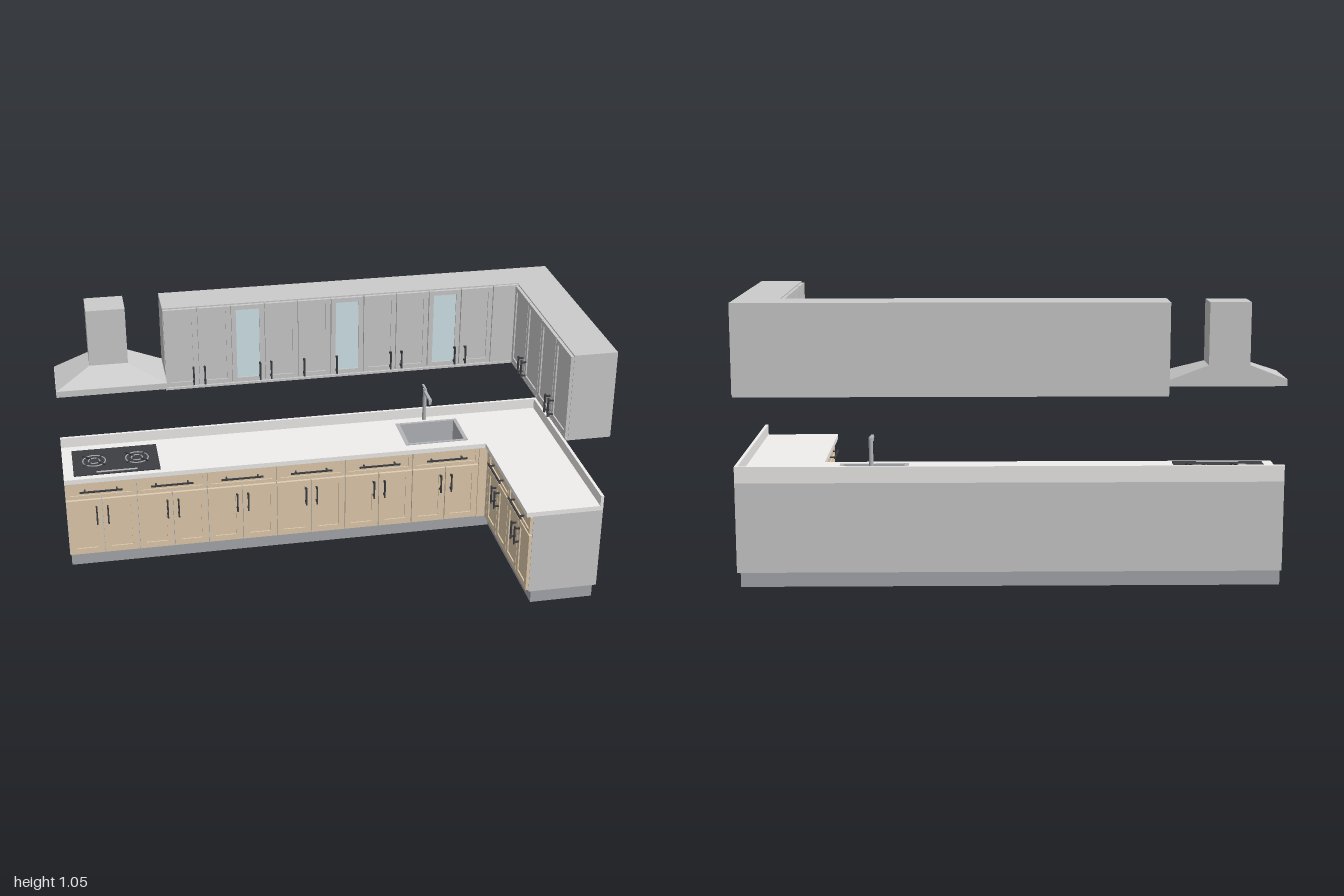
import * as THREE from 'three';

const mat = (color, side = THREE.FrontSide) => new THREE.MeshStandardMaterial({ color, side });
const GREY = mat(0xcccccc), WOOD = mat(0xe2cdae), STONE = mat(0xf0efec), PLINTH = mat(0xa6a9ae);
const DARK = mat(0x3c3e42), GLASS = mat(0xd2e6ec), METAL = mat(0xb4b6ba);

function add(parent, name, geometry, material) {
  const mesh = new THREE.Mesh(geometry, material);
  mesh.name = name;
  parent.add(mesh);
  return mesh;
}

// Box given by its limits on each axis
function box(parent, name, material, x0, x1, y0, y1, z0, z1) {
  const g = new THREE.BoxGeometry(x1 - x0, y1 - y0, z1 - z0);
  g.translate((x0 + x1) / 2, (y0 + y1) / 2, (z0 + z1) / 2);
  return add(parent, name, g, material);
}

const rectPoints = (x0, x1, y0, y1) =>
  [[x0, y0], [x1, y0], [x1, y1], [x0, y1]].map(p => new THREE.Vector2(...p));

// L-shaped slab: a run along the back and a leg along the +x side
function slabL(parent, name, material, o, y0, y1, hole) {
  const pts = [[o.x0, o.zb], [o.x1, o.zb], [o.x1, o.zEnd], [o.xLeg, o.zEnd], [o.xLeg, o.zRun], [o.x0, o.zRun]];
  const shape = new THREE.Shape(pts.map(p => new THREE.Vector2(...p)));
  if (hole) shape.holes.push(new THREE.Path(rectPoints(...hole)));
  const g = new THREE.ExtrudeGeometry(shape, { depth: y1 - y0, bevelEnabled: false });
  g.rotateX(Math.PI / 2).translate(0, y1, 0);
  return add(parent, name, g, material);
}

const THICK = 0.012, GAP = 0.002;

// Framed front with a recessed panel, facing +z, face at z = 0
function panelFront(parent, name, material, x0, x1, y0, y1, border, panel = material) {
  const front = new THREE.Group();
  front.name = name;
  x0 += GAP; x1 -= GAP; y0 += GAP; y1 -= GAP;
  const inner = [x0 + border, x1 - border, y0 + border, y1 - border];
  const shape = new THREE.Shape(rectPoints(x0, x1, y0, y1));
  shape.holes.push(new THREE.Path(rectPoints(...inner)));
  const g = new THREE.ExtrudeGeometry(shape, { depth: THICK, bevelEnabled: false });
  add(front, 'frame', g.translate(0, 0, -THICK), material);
  box(front, 'panel', panel, ...inner, -THICK, -0.005);
  parent.add(front);
}

// Bar handle on two posts, upright or level
function handle(parent, x, y, length, upright) {
  const h = new THREE.Group();
  h.name = 'handle';
  const r = 0.003, half = length / 2;
  box(h, 'bar', DARK, -half, half, -r, r, 0.017, 0.023);
  for (const s of [-1, 1]) {
    const c = s * half * 0.75;
    box(h, 'post', DARK, c - r, c + r, -r, r, 0, 0.018);
  }
  h.position.set(x, y, 0);
  if (upright) h.rotation.z = Math.PI / 2;
  parent.add(h);
}

// Group whose local x runs along the leg and whose fronts face -x
function legGroup(parent, name, x) {
  const g = new THREE.Group();
  g.name = name;
  g.position.x = x;
  g.rotation.y = -Math.PI / 2;
  parent.add(g);
  return g;
}

function runGroup(parent, name, z) {
  const g = new THREE.Group();
  g.name = name;
  g.position.z = z;
  parent.add(g);
  return g;
}

// Base unit: one drawer over a pair of doors
function baseUnit(parent, x0, w) {
  const c = x0 + w / 2;
  panelFront(parent, 'drawer', WOOD, x0, x0 + w, 0.312, 0.388, 0.014);
  handle(parent, c, 0.353, 0.168, false);
  for (const s of [-1, 1]) {
    panelFront(parent, 'baseDoor', WOOD, Math.min(c, c + s * w / 2), Math.max(c, c + s * w / 2), 0.06, 0.308, 0.025);
    handle(parent, c + s * 0.022, 0.243, 0.08, true);
  }
}

function wallDoor(parent, x0, x1, handleX, glazed) {
  panelFront(parent, glazed ? 'glassDoor' : 'wallDoor', GREY, x0, x1, 0.717, 1.044, 0.018, glazed ? GLASS : GREY);
  if (handleX !== null) handle(parent, handleX, 0.768, 0.076, true);
}

function buildBase(root) {
  const base = runGroup(root, 'baseCabinets', 0);
  const hole = [0.39, 0.625, -0.365, -0.19];
  slabL(base, 'plinth', PLINTH, { x0: -0.995, x1: 0.988, zb: -0.42, zEnd: 0.42, xLeg: 0.74, zRun: -0.18 }, 0, 0.056);
  slabL(base, 'carcass', GREY, { x0: -1, x1: 1, zb: -0.43, zEnd: 0.43, xLeg: 0.727, zRun: -0.166 }, 0.056, 0.391, hole);
  slabL(base, 'worktop', STONE, { x0: -1, x1: 1, zb: -0.43, zEnd: 0.43, xLeg: 0.7, zRun: -0.139 }, 0.391, 0.41, hole);
  box(base, 'backUpstand', STONE, -1, 1, 0.41, 0.452, -0.43, -0.418);
  box(base, 'sideUpstand', STONE, 0.988, 1, 0.41, 0.452, -0.418, 0.43);

  const run = runGroup(base, 'baseRunFronts', -0.154);
  for (let i = 0; i < 6; i++) baseUnit(run, -1 + i * 0.28, 0.28);
  box(run, 'cornerFiller', WOOD, 0.68, 0.727, 0.06, 0.388, -THICK, 0);
  const leg = legGroup(base, 'baseLegFronts', 0.715);
  for (let i = 0; i < 2; i++) baseUnit(leg, -0.13 + i * 0.28, 0.28);
  box(leg, 'cornerFiller', WOOD, -0.154, -0.13, 0.06, 0.388, -THICK, 0);
}

function buildWall(root) {
  const wall = runGroup(root, 'wallCabinets', 0);
  slabL(wall, 'carcass', GREY, { x0: -0.575, x1: 1, zb: -0.43, zEnd: 0.43, xLeg: 0.837, zRun: -0.272 }, 0.714, 1.047);
  slabL(wall, 'lightRail', GREY, { x0: -0.575, x1: 1, zb: -0.418, zEnd: 0.43, xLeg: 0.828, zRun: -0.263 }, 0.705, 0.714);
  const run = runGroup(wall, 'wallRunFronts', -0.26);
  // Handle side of each door: 1 right, -1 left
  const sides = [1, -1, 1, -1, -1, -1, 1, -1, 1, -1];
  const w = 0.131;
  sides.forEach((s, i) => {
    const x0 = -0.575 + i * w;
    wallDoor(run, x0, x0 + w, s > 0 ? x0 + w - 0.022 : x0 + 0.022, i % 3 === 2);
  });
  box(run, 'cornerFiller', GREY, 0.736, 0.837, 0.717, 1.044, -THICK, 0);
  const leg = legGroup(wall, 'wallLegFronts', 0.825);
  for (let i = 0; i < 4; i++) {
    const z0 = -0.26 + i * 0.1725;
    wallDoor(leg, z0, z0 + 0.1725, i % 2 ? z0 + 0.02 : z0 + 0.1525, false);
  }
}

function buildHood(root) {
  const hood = runGroup(root, 'extractorHood', 0);
  box(hood, 'rim', GREY, -1, -0.575, 0.743, 0.768, -0.43, -0.195);
  box(hood, 'chimney', GREY, -0.864, -0.715, 0.815, 1.047, -0.43, -0.298);
  // Canopy: a box whose top is drawn in to the chimney
  const g = new THREE.BoxGeometry(0.425, 0.053, 0.235).toNonIndexed();
  const p = g.attributes.position;
  for (let i = 0; i < p.count; i++) {
    const top = p.getY(i) > 0;
    const x = p.getX(i) > 0 ? (top ? -0.715 : -0.575) : (top ? -0.864 : -1);
    const z = p.getZ(i) > 0 ? (top ? -0.298 : -0.195) : -0.43;
    p.setXYZ(i, x, top ? 0.82 : 0.767, z);
  }
  g.computeVertexNormals();
  add(hood, 'canopy', g, GREY);
}

function buildHob(root) {
  const hob = runGroup(root, 'hob', 0);
  box(hob, 'hobPlate', DARK, -0.96, -0.62, 0.41, 0.414, -0.375, -0.165);
  box(hob, 'controlStrip', METAL, -0.87, -0.71, 0.414, 0.4155, -0.186, -0.176);
  for (const x of [-0.875, -0.705]) {
    for (const r of [0.022, 0.045]) {
      const ring = add(hob, 'burnerRing', new THREE.TorusGeometry(r, 0.003, 6, 28), PLINTH);
      ring.rotation.x = Math.PI / 2;
      ring.position.set(x, 0.414, -0.275);
    }
    for (let k = 0; k < 4; k++) {
      const spoke = box(hob, 'panSupport', DARK, 0.018, 0.06, 0, 0.006, -0.002, 0.002);
      spoke.position.set(x, 0.414, -0.275);
      spoke.rotation.y = k * Math.PI / 2 + Math.PI / 4;
    }
  }
}

function buildSink(root) {
  const sink = runGroup(root, 'sink', 0);
  const [x0, x1, z0, z1] = [0.39, 0.625, -0.365, -0.19];
  // Rim around the cut-out
  const rim = new THREE.Shape(rectPoints(x0 - 0.012, x1 + 0.012, z0 - 0.01, z1 + 0.008));
  rim.holes.push(new THREE.Path(rectPoints(x0 + 0.003, x1 - 0.003, z0 + 0.003, z1 - 0.003)));
  const g = new THREE.ExtrudeGeometry(rim, { depth: 0.004, bevelEnabled: false });
  add(sink, 'rim', g.rotateX(Math.PI / 2).translate(0, 0.413, 0), METAL);
  box(sink, 'basinFloor', METAL, x0, x1, 0.31, 0.314, z0, z1);
  for (const x of [x0, x1 - 0.003]) box(sink, 'basinSide', METAL, x, x + 0.003, 0.314, 0.41, z0, z1);
  for (const z of [z0, z1 - 0.003]) box(sink, 'basinEnd', METAL, x0, x1, 0.314, 0.41, z, z + 0.003);
  const drain = add(sink, 'drain', new THREE.CylinderGeometry(0.018, 0.018, 0.003, 20), DARK);
  drain.position.set(0.507, 0.315, -0.28);
  // Tap
  const post = add(sink, 'tapPost', new THREE.CylinderGeometry(0.008, 0.008, 0.143, 16), METAL);
  post.position.set(0.505, 0.4815, -0.398);
  box(sink, 'tapSpout', METAL, 0.499, 0.511, 0.536, 0.546, -0.398, -0.303);
  box(sink, 'tapOutlet', METAL, 0.5, 0.51, 0.524, 0.536, -0.313, -0.303);
  box(sink, 'tapLever', METAL, 0.501, 0.509, 0.553, 0.558, -0.433, -0.39);
}

export function createModel() {
  const root = new THREE.Group();
  root.name = 'kitchen';
  [buildBase, buildWall, buildHood, buildHob, buildSink].forEach(build => build(root));
  return root;
}
